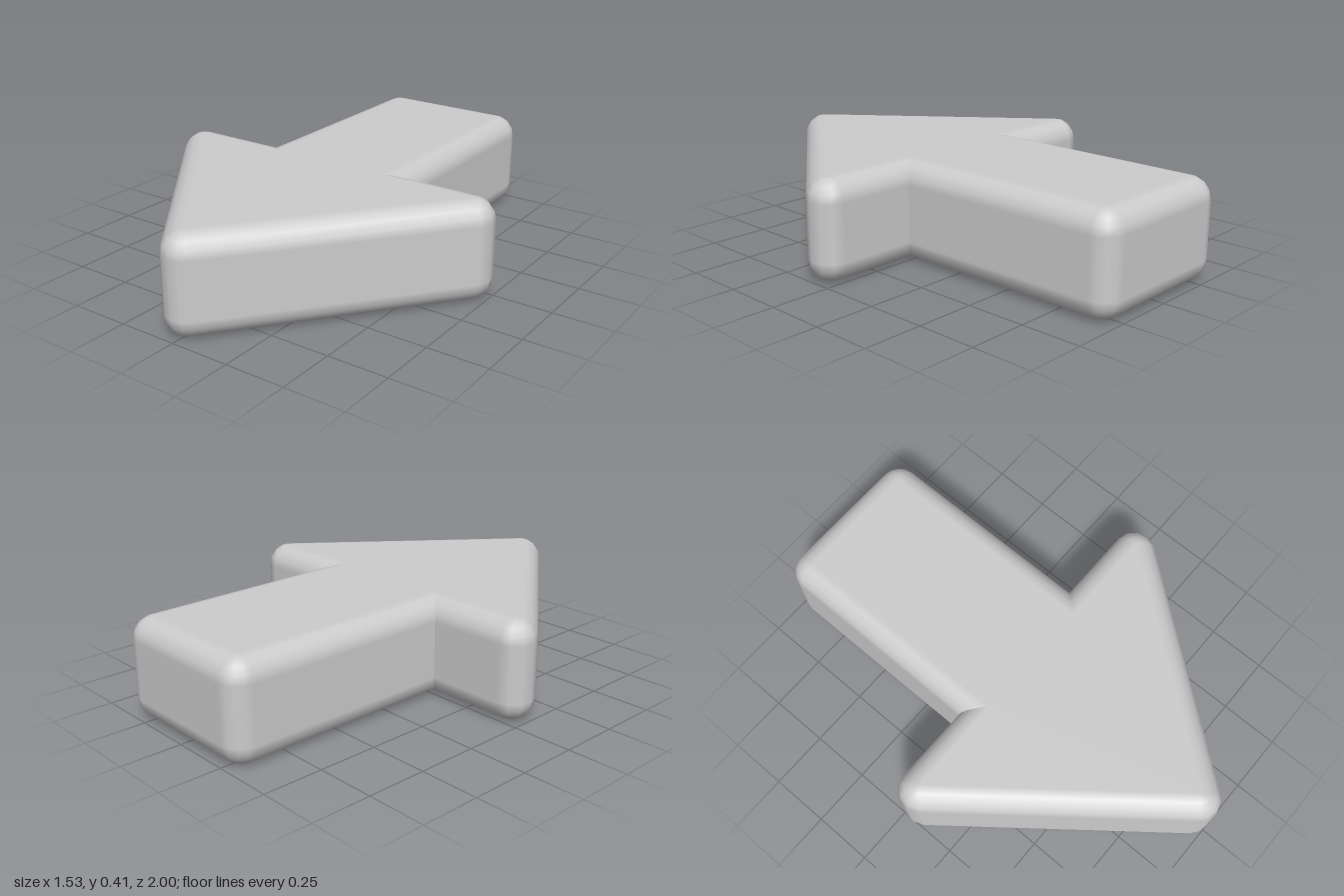
import * as THREE from 'three';

const HEIGHT = 0.415, R = 0.09, STEPS = 4;

// Flat-face outline (x, z), counter-clockwise from above, starting at the tip
const CORE = [
  [0, 0.91], [0.675, 0.06], [0.26, 0.06], [0.26, -0.91],
  [-0.26, -0.91], [-0.26, 0.06], [-0.675, 0.06],
];

function edgeAngle(a, b) {
  return Math.atan2(b[0] - a[0], -(b[1] - a[1])); // angle of the outward normal
}

function roundedArrowGeometry() {
  // One column per outline direction: core point, offset direction, normal
  const columns = [], firstColumn = [];
  const n = CORE.length;
  CORE.forEach((p, i) => {
    const a0 = edgeAngle(CORE[(i + n - 1) % n], p);
    const a1 = edgeAngle(p, CORE[(i + 1) % n]);
    let turn = a0 - a1;
    turn = Math.atan2(Math.sin(turn), Math.cos(turn));
    firstColumn.push(columns.length);
    if (turn > 0) {
      // Convex corner: sweep an arc
      for (let k = 0; k <= STEPS; k++) {
        const a = a0 - turn * k / STEPS;
        const d = [Math.cos(a), Math.sin(a)];
        columns.push({ p, d, n: d });
      }
    } else {
      // Concave corner: sharp mitre with one normal for each wall
      const s = 1 / (1 + Math.cos(turn));
      const d = [(Math.cos(a0) + Math.cos(a1)) * s, (Math.sin(a0) + Math.sin(a1)) * s];
      for (const a of [a0, a1]) columns.push({ p, d, n: [Math.cos(a), Math.sin(a)] });
    }
  });

  // Rings from the bottom face up over both rounded edges
  const rings = [];
  for (let k = 0; k <= STEPS; k++) rings.push([-Math.PI / 2 * (1 - k / STEPS), R]);
  for (let k = 0; k <= STEPS; k++) rings.push([Math.PI / 2 * k / STEPS, HEIGHT - R]);

  const position = [], normal = [], index = [], m = columns.length;
  for (const [t, y] of rings) {
    const c = Math.cos(t), s = Math.sin(t);
    for (const col of columns) {
      position.push(col.p[0] + col.d[0] * R * c, y + R * s, col.p[1] + col.d[1] * R * c);
      normal.push(col.n[0] * c, s, col.n[1] * c);
    }
  }
  for (let j = 0; j < rings.length - 1; j++) {
    for (let i = 0; i < m; i++) {
      const a = j * m + i, b = j * m + (i + 1) % m;
      index.push(a, b, b + m, a, b + m, a + m);
    }
  }

  // Flat top and bottom
  const top = (rings.length - 1) * m;
  const outline = CORE.map(([x, z]) => new THREE.Vector2(x, -z));
  for (const face of THREE.ShapeUtils.triangulateShape(outline, [])) {
    const [a, b, c] = face.map((v) => firstColumn[v]);
    index.push(top + a, top + b, top + c, c, b, a);
  }

  const geometry = new THREE.BufferGeometry();
  geometry.setAttribute('position', new THREE.Float32BufferAttribute(position, 3));
  geometry.setAttribute('normal', new THREE.Float32BufferAttribute(normal, 3));
  geometry.setIndex(index);
  return geometry;
}

export function createModel() {
  const group = new THREE.Group();
  group.name = 'arrow';
  const lightGrey = new THREE.MeshStandardMaterial({ color: 0xcccccc });
  lightGrey.name = 'light grey';
  const body = new THREE.Mesh(roundedArrowGeometry(), lightGrey);
  body.name = 'arrowBody';
  group.add(body);
  return group;
}
